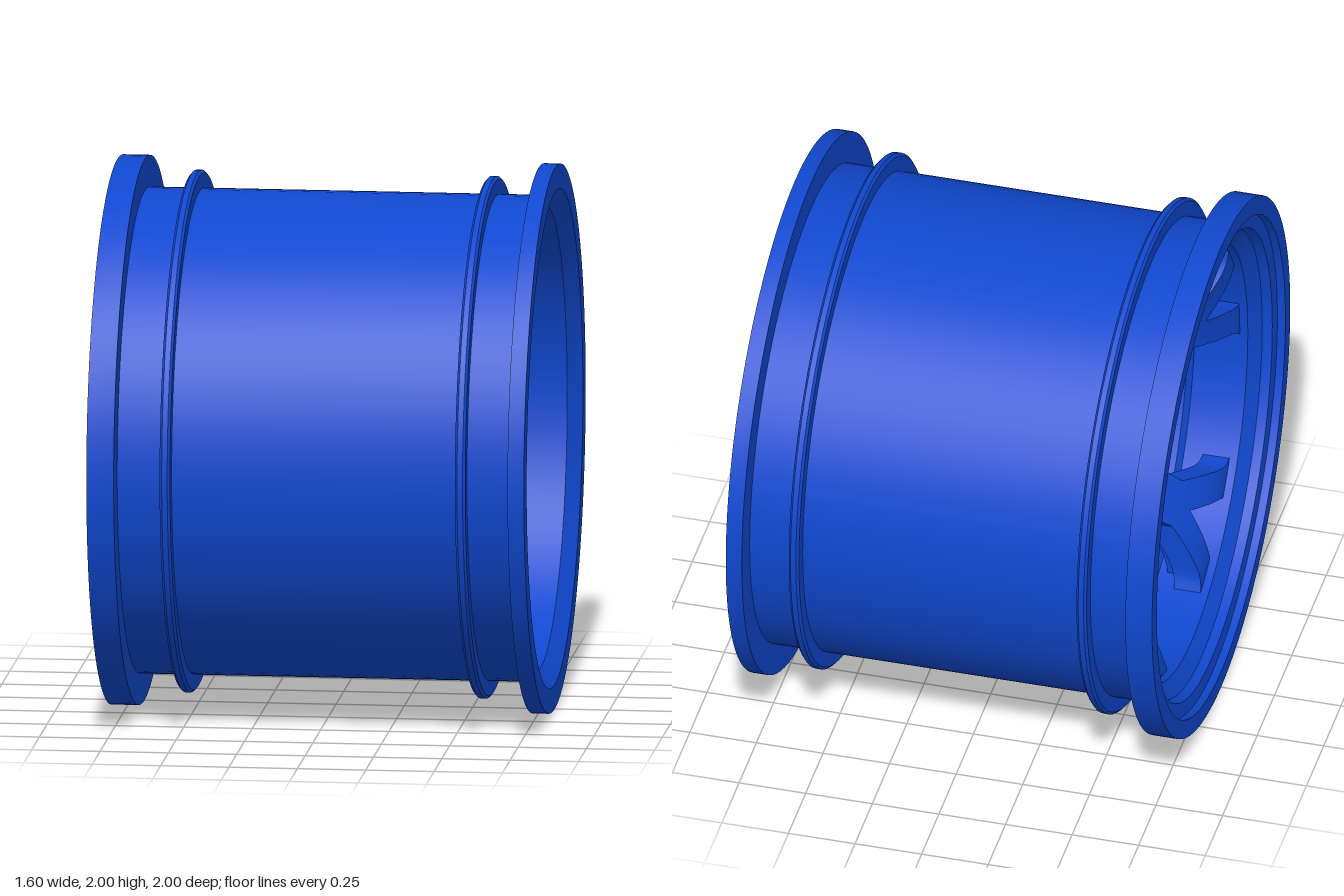
import * as THREE from 'three';
import { toCreasedNormals } from 'three/addons/utils/BufferGeometryUtils.js';

const blue = new THREE.MeshStandardMaterial({ color: 0x1048d0 });
blue.name = 'blue';

function addMesh(parent, name, geometry, crease = 0.5) {
  const mesh = new THREE.Mesh(toCreasedNormals(geometry, crease), blue);
  mesh.name = name;
  parent.add(mesh);
  return mesh;
}

// Closed profile of [radius, x] pairs turned about the x axis
function turned(profile) {
  const points = profile.map(([r, x]) => new THREE.Vector2(r, x));
  points.push(points[0].clone());
  return new THREE.LatheGeometry(points, 96).rotateZ(-Math.PI / 2);
}

// Dished outer face of the spokes, and their thickness, by radius
const dish = r => -0.66 + 0.36 * Math.pow(Math.max(0, (0.8 - r) / 0.52), 1.5);
const thickness = r => 0.1 + 0.3 * Math.max(0, 0.5 - r);

// Bar along a line of [across, up, halfWidth] stations, bent to follow the dish
function bar(stations, isRib) {
  const curve = new THREE.CatmullRomCurve3(stations.map(s => new THREE.Vector3(...s)));
  const geometry = new THREE.BoxGeometry(1, 1, 1, 20, 1, 4);
  const pos = geometry.attributes.position;
  const first = stations[0], last = stations[stations.length - 1];
  const dir = new THREE.Vector2(last[0] - first[0], last[1] - first[1]).normalize();
  for (let i = 0; i < pos.count; i++) {
    const p = curve.getPoint(pos.getX(i) + 0.5);
    const side = pos.getZ(i) * 2 * p.z;
    const across = p.x + dir.y * side;
    const up = p.y - dir.x * side;
    const r = Math.hypot(across, up);
    const back = dish(r) + thickness(r);
    const inner = pos.getY(i) > 0;
    const depth = isRib ? back + (inner ? 0.04 : -0.02) : (inner ? back : dish(r));
    pos.setXYZ(i, depth, up, -across);
  }
  return geometry;
}

function makeSpoke() {
  const spoke = new THREE.Group();
  spoke.name = 'spoke';
  addMesh(spoke, 'spokeStem', bar([
    [0, 0.22, 0.19], [0, 0.27, 0.19], [0, 0.31, 0.155], [0, 0.36, 0.122],
    [0, 0.43, 0.1], [0, 0.52, 0.09], [0, 0.62, 0.088],
  ]));
  addMesh(spoke, 'stemRib', bar([[0, 0.24, 0.018], [0, 0.4, 0.018], [0, 0.54, 0.018]], true));
  for (const s of [-1, 1]) {
    addMesh(spoke, 'spokeArm', bar([
      [s * 0.03, 0.57, 0.055], [s * 0.1, 0.672, 0.055],
      [s * 0.165, 0.766, 0.058], [s * 0.2, 0.816, 0.08],
    ]));
    addMesh(spoke, 'armRib', bar([
      [0, 0.53, 0.018], [s * 0.1, 0.675, 0.018], [s * 0.2, 0.82, 0.018],
    ], true));
  }
  return spoke;
}

export function createModel() {
  const wheel = new THREE.Group();
  wheel.name = 'wheelRim';

  // Barrel with end flanges, stepped outer lip and open inner side
  addMesh(wheel, 'barrel', turned([
    [0.81, -0.69], [0.865, -0.73], [0.875, -0.765], [0.93, -0.77], [0.93, -0.8],
    [1, -0.8], [1, -0.7], [0.885, -0.7], [0.885, 0.74], [1, 0.74], [1, 0.8],
    [0.91, 0.8], [0.845, 0.75], [0.838, -0.46], [0.81, -0.49],
  ]), 0.3);

  // Raised bead ridges
  for (const x of [-0.52, 0.56]) {
    addMesh(wheel, 'beadRidge', turned([
      [0.87, x - 0.019], [0.94, x - 0.019], [0.95, x - 0.01],
      [0.95, x + 0.01], [0.94, x + 0.019], [0.87, x + 0.019],
    ]));
  }

  // Hub body with axle bore
  addMesh(wheel, 'hub', turned([[0.082, -0.29], [0.27, -0.29], [0.27, 0.25], [0.082, 0.25]]));

  // Hexagonal socket on the inner end of the hub
  const socket = new THREE.Shape().absarc(0, 0, 0.27, 0, Math.PI * 2);
  const hex = new THREE.Path();
  hex.setFromPoints(Array.from({ length: 7 }, (_, i) => {
    const a = Math.PI / 2 - 0.08 - i * Math.PI / 3;
    return new THREE.Vector2(0.23 * Math.cos(a), 0.23 * Math.sin(a));
  }));
  socket.holes.push(hex);
  addMesh(wheel, 'hexSocket', new THREE.ExtrudeGeometry(socket, {
    depth: 0.13, bevelEnabled: false, curveSegments: 48,
  }).rotateY(Math.PI / 2)).position.x = 0.25;

  // Five forked spokes
  for (let i = 0; i < 5; i++) {
    const spoke = makeSpoke();
    spoke.rotation.x = i * Math.PI * 2 / 5;
    wheel.add(spoke);
  }

  wheel.position.y = 1;
  const model = new THREE.Group();
  model.name = 'model';
  model.add(wheel);
  return model;
}
